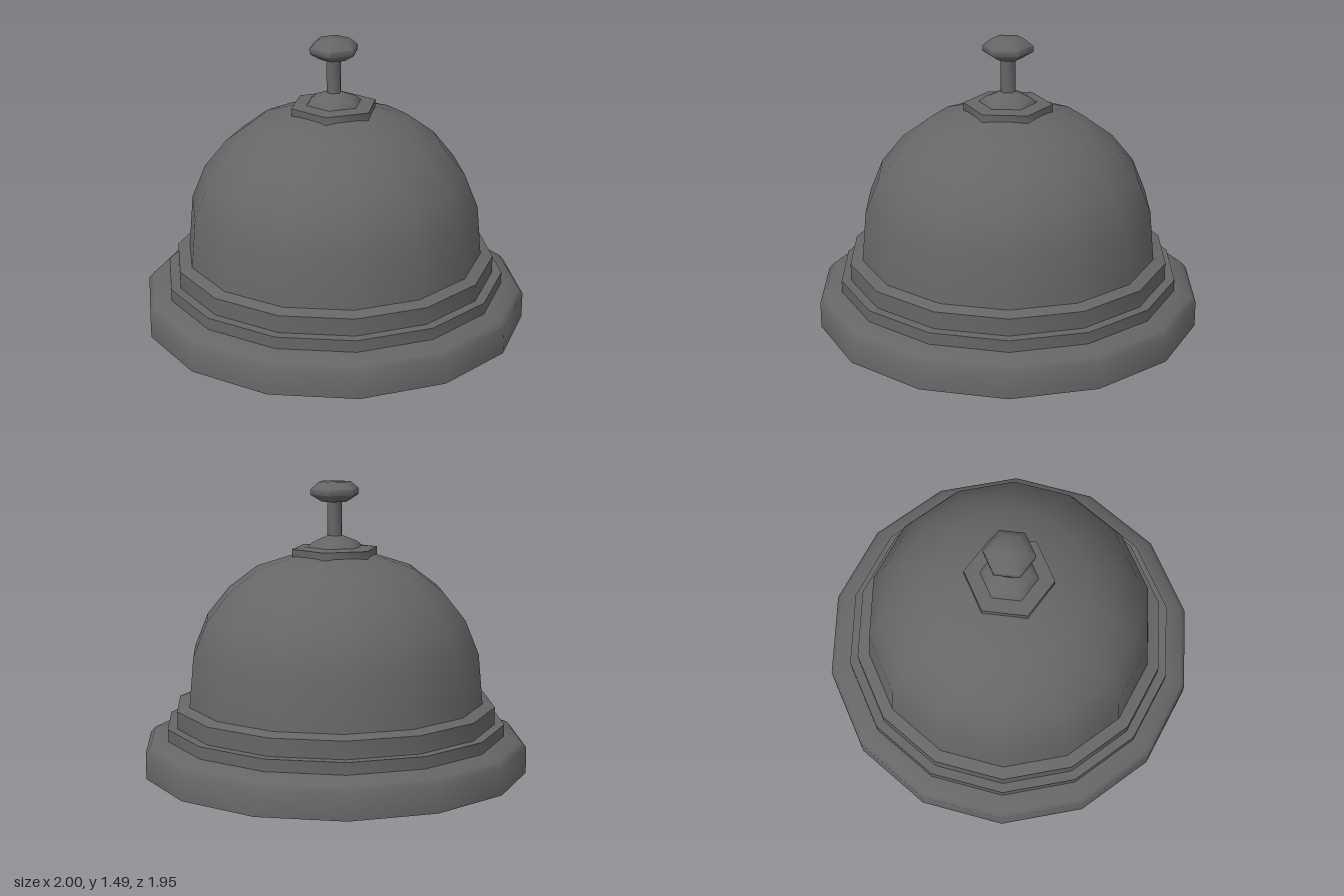
import * as THREE from 'three';
import { toCreasedNormals } from 'three/addons/utils/BufferGeometryUtils.js';

export function createModel() {
  const model = new THREE.Group();
  model.name = 'serviceBell';

  const darkGrey = new THREE.MeshStandardMaterial({ color: 0x666666 });
  darkGrey.name = 'darkGreyMetal';

  // Turned part: profile of [radius, height] from bottom to top, corners on the x axis
  function turned(name, sides, crease, profile) {
    const points = profile.map(([r, y]) => new THREE.Vector2(r, y));
    const lathe = new THREE.LatheGeometry(points, sides, Math.PI / 2);
    const mesh = new THREE.Mesh(toCreasedNormals(lathe, crease), darkGrey);
    mesh.name = name;
    model.add(mesh);
  }

  const round = 1.0; // keeps square steps sharp on the 14-sided parts
  const hex = 1.1; // also smooths around the six-sided parts

  // Wide foot with a bevelled shoulder
  turned('base', 14, round, [[0, 0], [1, 0], [1, 0.135], [0.975, 0.165], [0.88, 0.19], [0, 0.19]]);

  // Two stepped rings below the dome
  turned('lowerRing', 14, round, [[0.885, 0.18], [0.885, 0.25], [0.8, 0.25]]);
  turned('upperRing', 14, round, [[0.835, 0.245], [0.835, 0.34], [0.76, 0.36]]);

  // Bell dome
  turned('dome', 14, round, [
    [0.775, 0.34], [0.77, 0.37], [0.748, 0.615], [0.677, 0.79], [0.56, 0.935],
    [0.408, 1.05], [0.21, 1.115], [0, 1.13],
  ]);

  // Hexagonal washer and collar under the plunger
  turned('washer', 6, hex, [[0, 1.11], [0.228, 1.11], [0.228, 1.15], [0.145, 1.158], [0, 1.158]]);
  turned('collar', 6, hex, [[0.15, 1.15], [0.145, 1.162], [0.115, 1.185], [0.04, 1.215], [0, 1.215]]);

  // Plunger rod and button
  turned('plungerRod', 6, hex, [[0.038, 1.2], [0.038, 1.4]]);
  turned('button', 6, hex, [
    [0, 1.385], [0.07, 1.39], [0.128, 1.425], [0.128, 1.455], [0.085, 1.49], [0, 1.492],
  ]);

  return model;
}
